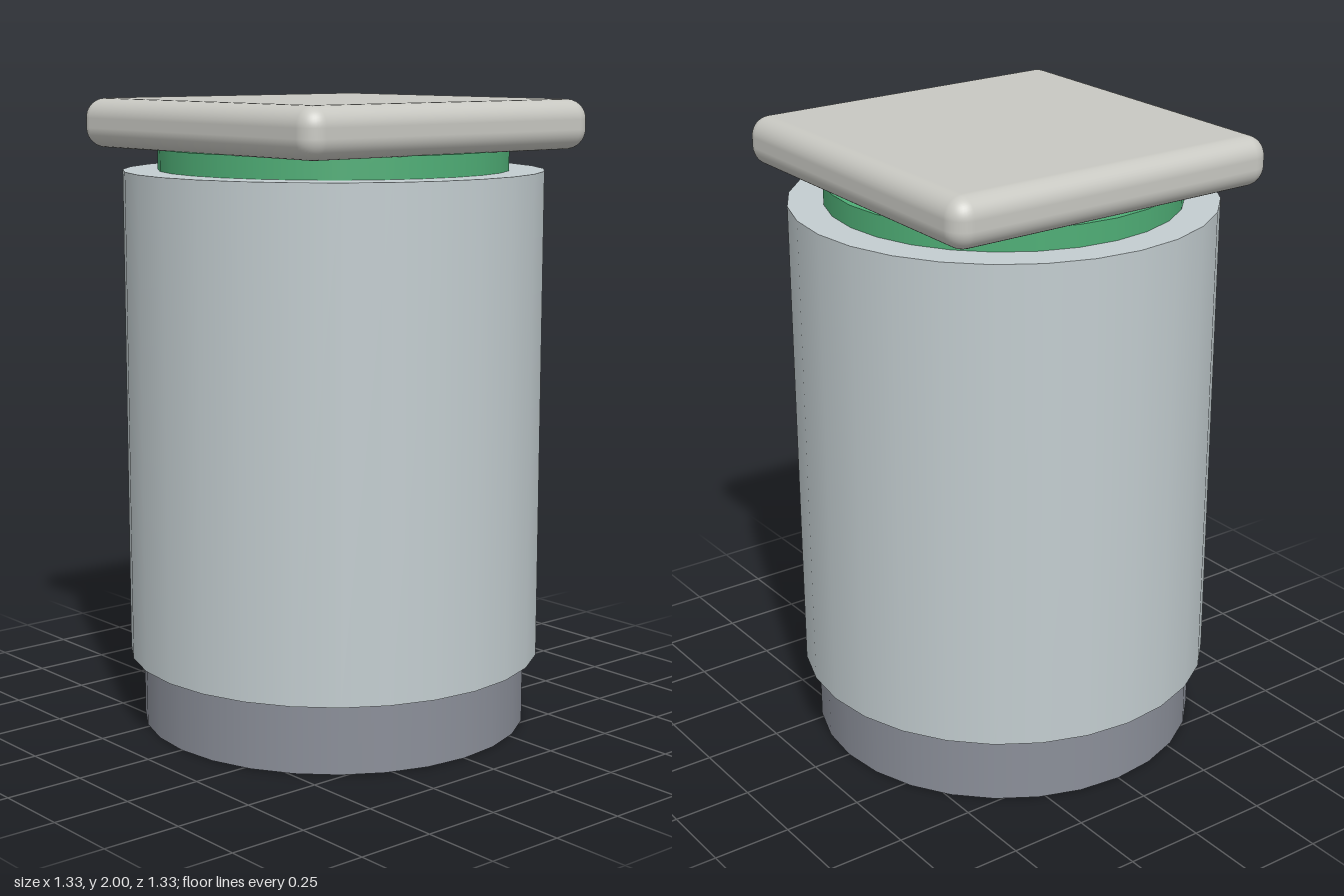
import * as THREE from 'three';
import { RoundedBoxGeometry } from 'three/addons/geometries/RoundedBoxGeometry.js';

const SIDES = 28;

export function createModel() {
  const model = new THREE.Group();

  const add = (name, geometry, color, y) => {
    const mesh = new THREE.Mesh(geometry, new THREE.MeshStandardMaterial({ color }));
    mesh.name = name;
    mesh.position.y = y;
    model.add(mesh);
  };

  // Upright cylinder spanning y0 to y1
  const drum = (name, radius, y0, y1, color) =>
    add(name, new THREE.CylinderGeometry(radius, radius, y1 - y0, SIDES), color, (y0 + y1) / 2);

  drum('base', 0.622, 0, 0.225, 0x8b8f99);
  drum('body', 0.665, 0.225, 1.78, 0xc3cdd0);
  drum('collar', 0.555, 1.78, 1.848, 0x4fae76);

  // Square soft-edged lid
  add('lid', new RoundedBoxGeometry(1.15, 0.155, 1.15, 5, 0.062), 0xc8c8c2, 1.9225);

  return model;
}
